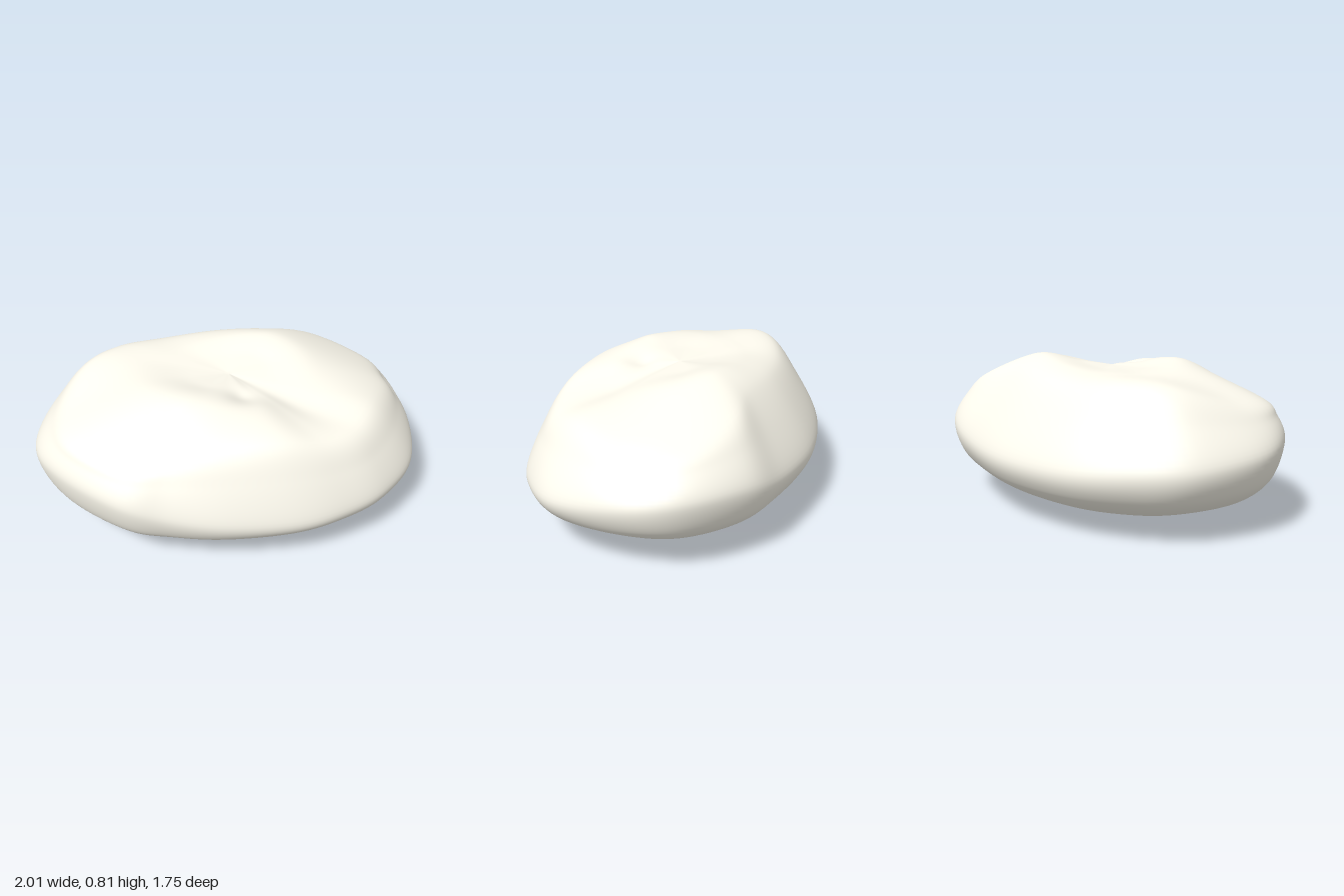
import * as THREE from 'three';
import { mergeVertices } from 'three/addons/utils/BufferGeometryUtils.js';

// Stations around the rock, from +x towards +z:
// [belt x, belt z, belt y, shoulder scale, shoulder y, crown y]
const STATIONS = [
  [1.0, -0.22, 0.33, 0.76, 0.66, 0.71],
  [0.94, 0.08, 0.31, 0.78, 0.63, 0.68],
  [0.8, 0.3, 0.3, 0.77, 0.64, 0.71],
  [0.6, 0.5, 0.3, 0.74, 0.68, 0.75],
  [0.28, 0.7, 0.33, 0.75, 0.68, 0.77],
  [0.0, 0.81, 0.37, 0.8, 0.66, 0.785],
  [-0.25, 0.87, 0.42, 0.85, 0.62, 0.79],
  [-0.63, 0.79, 0.44, 0.87, 0.64, 0.78],
  [-0.88, 0.6, 0.42, 0.79, 0.67, 0.77],
  [-1.0, 0.25, 0.39, 0.75, 0.74, 0.765],
  [-0.94, -0.04, 0.37, 0.73, 0.745, 0.765],
  [-0.75, -0.35, 0.35, 0.69, 0.72, 0.765],
  [-0.4, -0.64, 0.35, 0.66, 0.73, 0.785],
  [0.0, -0.81, 0.37, 0.66, 0.74, 0.81],
  [0.3, -0.88, 0.42, 0.77, 0.69, 0.81],
  [0.66, -0.79, 0.41, 0.83, 0.62, 0.78],
  [0.88, -0.55, 0.37, 0.82, 0.63, 0.75],
];
const CENTRE_Y = 0.755;

// Small dents: [x, y, z, radius, depth]
const DENTS = [
  [0.16, 0.75, 0.17, 0.08, 0.035],
  [0.76, 0.53, -0.6, 0.11, 0.025],
  [-0.14, 0.67, 0.62, 0.15, 0.02],
];

// Key points of the section from the underside to the top, at one station
function section([x, z, belt, s, shoulder, crown]) {
  const at = (scale, y) => new THREE.Vector3(x * scale, y, z * scale);
  return [
    at(0, 0), at(0.3, 0.015), at(0.6, 0.07), at(0.82, 0.145), at(0.95, belt * 0.4 + 0.085),
    at(1, belt),
    at((1 + s) / 2 + 0.02, (belt + shoulder) / 2 + 0.015),
    at(s, shoulder), at(0.45, crown),
    at(0.2, CENTRE_Y + (crown - CENTRE_Y) * 0.4), at(0, CENTRE_Y),
  ];
}

function rockGeometry(around = 120, along = 80) {
  const sections = STATIONS.map(section);
  // One closed smooth ring through each row of key points
  const rings = sections[0].map((_, row) =>
    new THREE.CatmullRomCurve3(sections.map((s) => s[row]), true, 'catmullrom', 0.5));

  const positions = [];
  const index = [];
  const p = new THREE.Vector3();
  const c = new THREE.Vector3();
  for (let i = 0; i < around; i++) {
    const rib = new THREE.CatmullRomCurve3(
      rings.map((r) => r.getPoint(i / around)), false, 'catmullrom', 0.45);
    for (let j = 0; j <= along; j++) {
      rib.getPoint(j / along, p);
      // Press the dents inwards
      for (const [dx, dy, dz, radius, depth] of DENTS) {
        c.set(dx, dy, dz);
        const push = depth * Math.exp(-p.distanceToSquared(c) / (radius * radius));
        c.set(0, 0.38, 0).sub(p).normalize();
        p.addScaledVector(c, push);
      }
      positions.push(p.x, Math.max(0, p.y), p.z);
      if (j < along) {
        const a = i * (along + 1) + j;
        const b = ((i + 1) % around) * (along + 1) + j;
        // Quads, with single triangles at the two poles
        if (j < along - 1) index.push(a, a + 1, b + 1);
        else index.push(a, a + 1, b);
        if (j > 0 && j < along - 1) index.push(a, b + 1, b);
      }
    }
  }
  const geometry = new THREE.BufferGeometry();
  geometry.setAttribute('position', new THREE.Float32BufferAttribute(positions, 3));
  geometry.setIndex(index);
  const welded = mergeVertices(geometry, 1e-5);
  welded.computeVertexNormals();
  return welded;
}

export function createModel() {
  const group = new THREE.Group();
  group.name = 'boulder';
  const rock = new THREE.Mesh(
    rockGeometry(), new THREE.MeshStandardMaterial({ color: 0xfffcf0 }));
  rock.name = 'rock';
  group.add(rock);
  return group;
}
